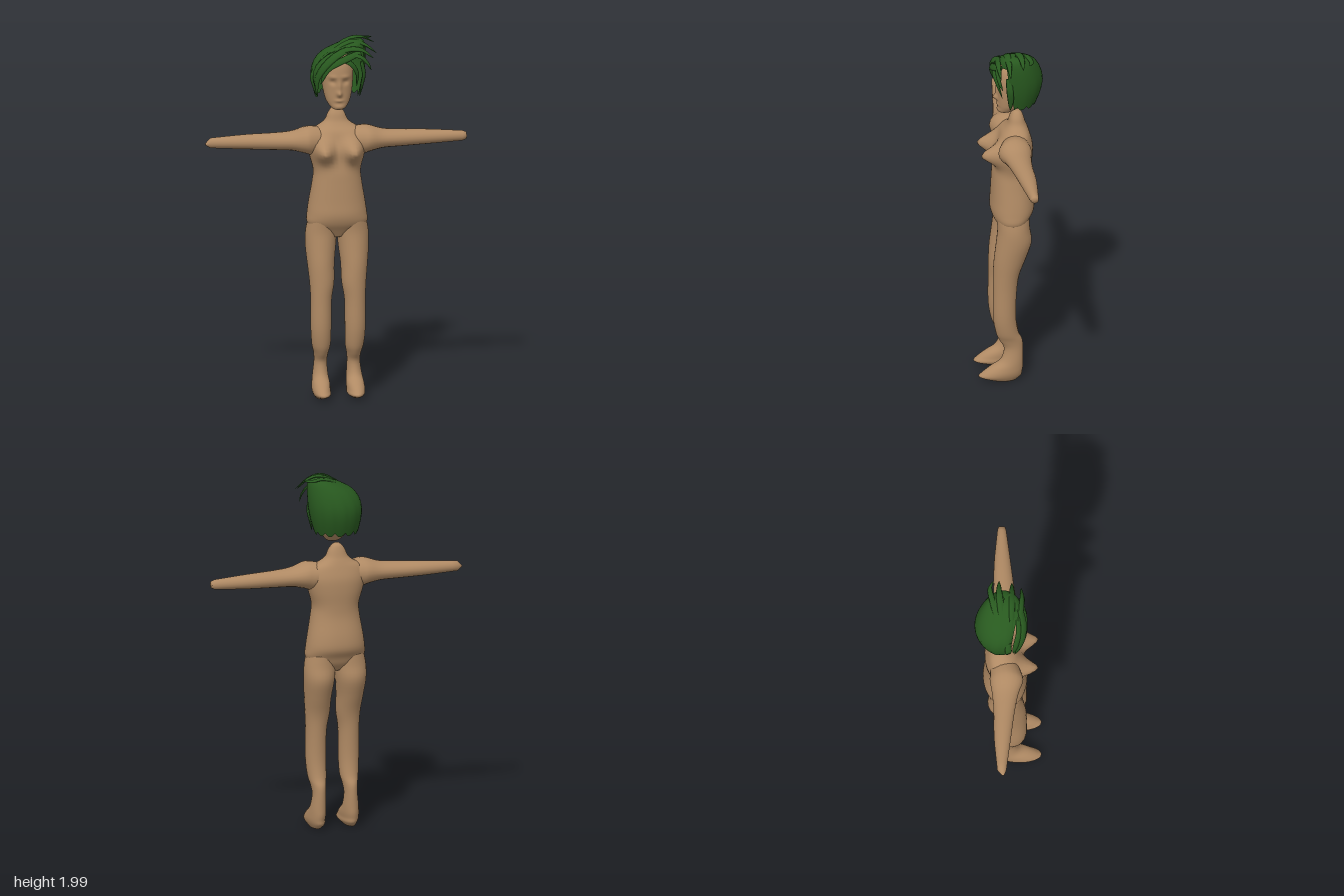
import * as THREE from 'three';

const V = (x, y, z) => new THREE.Vector3(x, y, z);

// Smoothly interpolated row of a table at t in 0..1
function rowAt(rows, t) {
  const f = t * (rows.length - 1), i = Math.min(Math.floor(f), rows.length - 2), u = f - i;
  const r = k => rows[Math.max(0, Math.min(rows.length - 1, k))];
  return rows[i].map((p1, c) => {
    const p0 = r(i - 1)[c], p2 = r(i + 1)[c], p3 = r(i + 2)[c];
    return p1 + 0.5 * u * (p2 - p0 + u * (2 * p0 - 5 * p1 + 4 * p2 - p3 + u * (3 * (p1 - p2) + p3 - p0)));
  });
}

// Skin through closed rings of points, with optional end caps
function loft(rings, flip = false, caps = true) {
  const n = rings[0].length, pos = [], idx = [];
  rings.forEach(r => r.forEach(p => pos.push(p.x, p.y, p.z)));
  const tri = (a, b, c) => (flip ? idx.push(a, c, b) : idx.push(a, b, c));
  for (let i = 0; i < rings.length - 1; i++) {
    for (let j = 0; j < n; j++) {
      const k = (j + 1) % n, a = i * n + j, b = i * n + k;
      tri(a, b, a + n);
      tri(b, b + n, a + n);
    }
  }
  if (caps) {
    for (const end of [0, rings.length - 1]) {
      const c = V(0, 0, 0);
      rings[end].forEach(p => c.addScaledVector(p, 1 / n));
      const m = pos.length / 3;
      pos.push(c.x, c.y, c.z);
      for (let j = 0; j < n; j++) {
        const a = end * n + j, b = end * n + (j + 1) % n;
        if (end === 0) tri(b, a, m); else tri(a, b, m);
      }
    }
  }
  const g = new THREE.BufferGeometry();
  g.setAttribute('position', new THREE.Float32BufferAttribute(pos, 3));
  g.setIndex(idx);
  g.computeVertexNormals();
  return g;
}

// Point on a horizontal oval given by [y, x0, x1, z0, z1]; angle 0 faces +z
const oval = ([y, x0, x1, z0, z1], a, sq = 1) => {
  const q = v => Math.sign(v) * Math.abs(v) ** sq;
  return V((x0 + x1) / 2 + q(Math.sin(a)) * (x1 - x0) / 2, y, (z0 + z1) / 2 + q(Math.cos(a)) * (z1 - z0) / 2);
};

// Upright body with forward bumps [x, y, widthX, widthY, amount], mirrored in x
function upright(rows, { steps = 4, n = 32, sq = 1, bumps = [] } = {}) {
  const count = (rows.length - 1) * steps, rings = [];
  for (let i = 0; i <= count; i++) {
    const row = rowAt(rows, i / count), ring = [];
    for (let j = 0; j < n; j++) {
      const a = j / n * Math.PI * 2, p = oval(row, a, sq);
      const front = Math.sqrt(Math.max(0, Math.cos(a)));
      for (const [bx, by, sx, sy, amt] of bumps) {
        p.z += front * amt * Math.exp(-(((Math.abs(p.x) - bx) / sx) ** 2) - ((p.y - by) / sy) ** 2);
      }
      ring.push(p);
    }
    rings.push(ring);
  }
  return rings;
}

const sym = rows => rows.map(([y, h, b, f]) => [y, -h, h, b, f]);

const TORSO = sym([
  [0.90, 0.05, -0.06, 0.04], [0.94, 0.13, -0.09, 0.065], [0.98, 0.165, -0.108, 0.09], [1.03, 0.163, -0.135, 0.103],
  [1.1, 0.153, -0.135, 0.1], [1.2, 0.136, -0.12, 0.095], [1.27, 0.13, -0.12, 0.09], [1.35, 0.15, -0.127, 0.075],
  [1.42, 0.16, -0.127, 0.06], [1.48, 0.145, -0.112, 0.045], [1.515, 0.09, -0.1, 0.02], [1.54, 0.062, -0.09, 0.005],
  [1.575, 0.047, -0.08, -0.005], [1.6, 0.03, -0.07, -0.018], [1.612, 0.015, -0.055, -0.03]]);

const LEG = [
  [0.01, 0.07, 0.125, -0.025, 0.1], [0.035, 0.045, 0.14, -0.055, 0.178], [0.06, 0.045, 0.145, -0.06, 0.16],
  [0.09, 0.045, 0.142, -0.065, 0.12], [0.13, 0.05, 0.135, -0.065, 0.06], [0.2, 0.055, 0.126, -0.065, 0.04],
  [0.25, 0.05, 0.13, -0.06, 0.065], [0.3, 0.04, 0.142, -0.038, 0.085], [0.4, 0.037, 0.15, -0.025, 0.1],
  [0.55, 0.035, 0.15, -0.03, 0.1], [0.65, 0.02, 0.155, -0.045, 0.1], [0.75, 0.017, 0.165, -0.08, 0.095],
  [0.85, 0.006, 0.174, -0.112, 0.083], [0.93, 0, 0.172, -0.103, 0.075], [1.0, 0, 0.158, -0.1, 0.08]];

// Arm rows: x, bottom, top, back, front
const ARM = [
  [0.08, 1.37, 1.5, -0.1, 0.05], [0.14, 1.355, 1.512, -0.1, 0.075], [0.18, 1.365, 1.508, -0.1, 0.08],
  [0.25, 1.38, 1.486, -0.088, 0.055], [0.35, 1.384, 1.477, -0.08, 0.035], [0.5, 1.39, 1.47, -0.078, 0.015],
  [0.69, 1.4, 1.456, -0.06, -0.01]];
const TIPS = { 1: [0.712, 1.41, 1.448, -0.056, -0.015], '-1': [0.718, 1.418, 1.428, -0.035, -0.022] };

const HEAD = sym([
  [1.61, 0.015, 0.01, 0.045], [1.62, 0.038, -0.02, 0.06], [1.65, 0.061, -0.062, 0.061], [1.68, 0.072, -0.09, 0.063],
  [1.72, 0.08, -0.11, 0.064], [1.77, 0.085, -0.13, 0.067], [1.82, 0.086, -0.135, 0.069], [1.87, 0.075, -0.12, 0.06],
  [1.9, 0.055, -0.09, 0.035], [1.92, 0.02, -0.06, -0.01]]);
// Nose, bridge, lips, chin, eye sockets, brows
const FACE = [
  [0, 1.703, 0.013, 0.016, 0.022], [0, 1.74, 0.011, 0.035, 0.012], [0, 1.664, 0.022, 0.009, 0.008],
  [0, 1.63, 0.025, 0.012, 0.005], [0.035, 1.768, 0.017, 0.014, -0.013], [0.035, 1.797, 0.025, 0.01, 0.006]];

// Hair volume leaning towards +x
const HAIR = [
  [1.67, -0.115, 0.12, -0.145, 0.055], [1.74, -0.132, 0.142, -0.172, 0.08], [1.81, -0.138, 0.155, -0.184, 0.09],
  [1.87, -0.122, 0.16, -0.172, 0.09], [1.92, -0.08, 0.16, -0.148, 0.08], [1.96, 0, 0.155, -0.115, 0.06],
  [1.985, 0.05, 0.14, -0.08, 0.03], [1.99, 0.09, 0.1, -0.035, -0.02]];

function hairShell() {
  const n = 40, m = 14, rings = [];
  for (let i = 0; i <= m; i++) {
    const ring = [];
    for (let j = 0; j < n; j++) {
      const a = j / n * Math.PI * 2;
      // Opening for the face, with a slightly uneven hem
      const low = 0.62 * THREE.MathUtils.smoothstep(Math.cos(a), 0.3, 0.65) + 0.05 * (j % 3 === 0);
      ring.push(oval(rowAt(HAIR, Math.min(1, low + (1 - low) * i / m)), a));
    }
    rings.push(ring);
  }
  return loft(rings, false, false);
}

// Flat tapering lock of hair along a curve
function lock(points, width) {
  const curve = new THREE.CatmullRomCurve3(points.map(p => V(...p)));
  const rings = [], m = 10, n = 8;
  for (let i = 0; i <= m; i++) {
    const u = i / m, p = curve.getPoint(u), t = curve.getTangent(u);
    const e0 = p.clone().sub(V(0.02, 1.8, -0.05));
    e0.addScaledVector(t, -e0.dot(t)).normalize();
    const e1 = t.clone().cross(e0), w = width * Math.max(0.02, (1 - u) ** 0.7 * (0.55 + u));
    rings.push(Array.from({ length: n }, (_, j) => {
      const a = j / n * Math.PI * 2;
      return p.clone().addScaledVector(e0, Math.cos(a) * w * 0.4).addScaledVector(e1, Math.sin(a) * w);
    }));
  }
  return loft(rings);
}

const LOCKS = [
  // Fringe swept across the forehead
  [[[0.1, 1.96, 0.04], [0, 1.93, 0.08], [-0.08, 1.86, 0.08], [-0.118, 1.78, 0.055], [-0.112, 1.68, 0.035]], 0.035],
  [[[0.12, 1.93, 0.06], [0.03, 1.9, 0.09], [-0.06, 1.85, 0.09], [-0.1, 1.76, 0.07]], 0.03],
  [[[0.05, 1.95, 0.05], [-0.06, 1.9, 0.06], [-0.12, 1.83, 0.04], [-0.128, 1.74, 0.03]], 0.035],
  [[[0, 1.9, 0.08], [0.06, 1.88, 0.092], [0.1, 1.82, 0.075], [0.1, 1.74, 0.05]], 0.022],
  // Side locks
  [[[0.13, 1.87, 0.02], [0.145, 1.8, 0.015], [0.135, 1.74, 0.01], [0.122, 1.675, 0.01]], 0.03],
  [[[-0.115, 1.85, 0], [-0.137, 1.79, 0], [-0.125, 1.73, 0], [-0.11, 1.68, 0]], 0.03],
  // Swept spikes on the crown
  [[[-0.04, 1.92, -0.03], [0.05, 1.98, -0.04], [0.13, 1.995, -0.05], [0.21, 1.96, -0.05]], 0.03],
  [[[-0.02, 1.94, 0.02], [0.07, 1.985, 0.02], [0.14, 1.97, 0.02], [0.215, 1.915, 0.02]], 0.028],
  [[[-0.04, 1.91, 0.06], [0.04, 1.95, 0.07], [0.12, 1.95, 0.075], [0.19, 1.9, 0.07]], 0.026],
  [[[0.02, 1.96, -0.07], [0.1, 1.985, -0.09], [0.16, 1.98, -0.1], [0.2, 1.985, -0.08]], 0.024],
  [[[0.06, 1.92, 0.07], [0.12, 1.91, 0.08], [0.16, 1.87, 0.075], [0.18, 1.83, 0.06]], 0.02]];

export function createModel() {
  const model = new THREE.Group();
  model.name = 'figure';
  const skin = new THREE.MeshStandardMaterial({ color: 0xb08a64 });
  skin.name = 'skin';
  const green = new THREE.MeshStandardMaterial({ color: 0x28591f, side: THREE.DoubleSide });
  green.name = 'green hair';
  const add = (name, geometry, material, parent = model) => {
    const mesh = new THREE.Mesh(geometry, material);
    mesh.name = name;
    parent.add(mesh);
    return mesh;
  };

  add('torso', loft(upright(TORSO, { n: 48, sq: 0.9, bumps: [[0.088, 1.385, 0.055, 0.055, 0.115]] })), skin);
  add('head', loft(upright(HEAD, { n: 72, steps: 7, sq: 0.9, bumps: FACE })), skin).position.x = 0.004;

  // Mirrored limbs
  for (const s of [1, -1]) {
    const side = s > 0 ? 'left' : 'right';
    const leg = upright(LEG, { n: 24 });
    leg.flat().forEach(p => { p.x *= s; });
    add(side + 'Leg', loft(leg, s < 0), skin);

    const rows = Array.from({ length: 25 }, (_, i) => rowAt(ARM, i / 24)).concat([TIPS[s]]);
    const arm = rows.map(([x, y0, y1, z0, z1]) => Array.from({ length: 20 }, (_, j) => {
      const a = j / 20 * Math.PI * 2;
      return V(s * x, (y0 + y1) / 2 + Math.cos(a) * (y1 - y0) / 2, (z0 + z1) / 2 + Math.sin(a) * (z1 - z0) / 2);
    }));
    add(side + 'Arm', loft(arm, s < 0), skin);
  }

  const hair = new THREE.Group();
  hair.name = 'hair';
  model.add(hair);
  add('hairShell', hairShell(), green, hair);
  LOCKS.forEach(([points, width], i) => add('hairLock' + (i + 1), lock(points, width), green, hair));
  return model;
}
